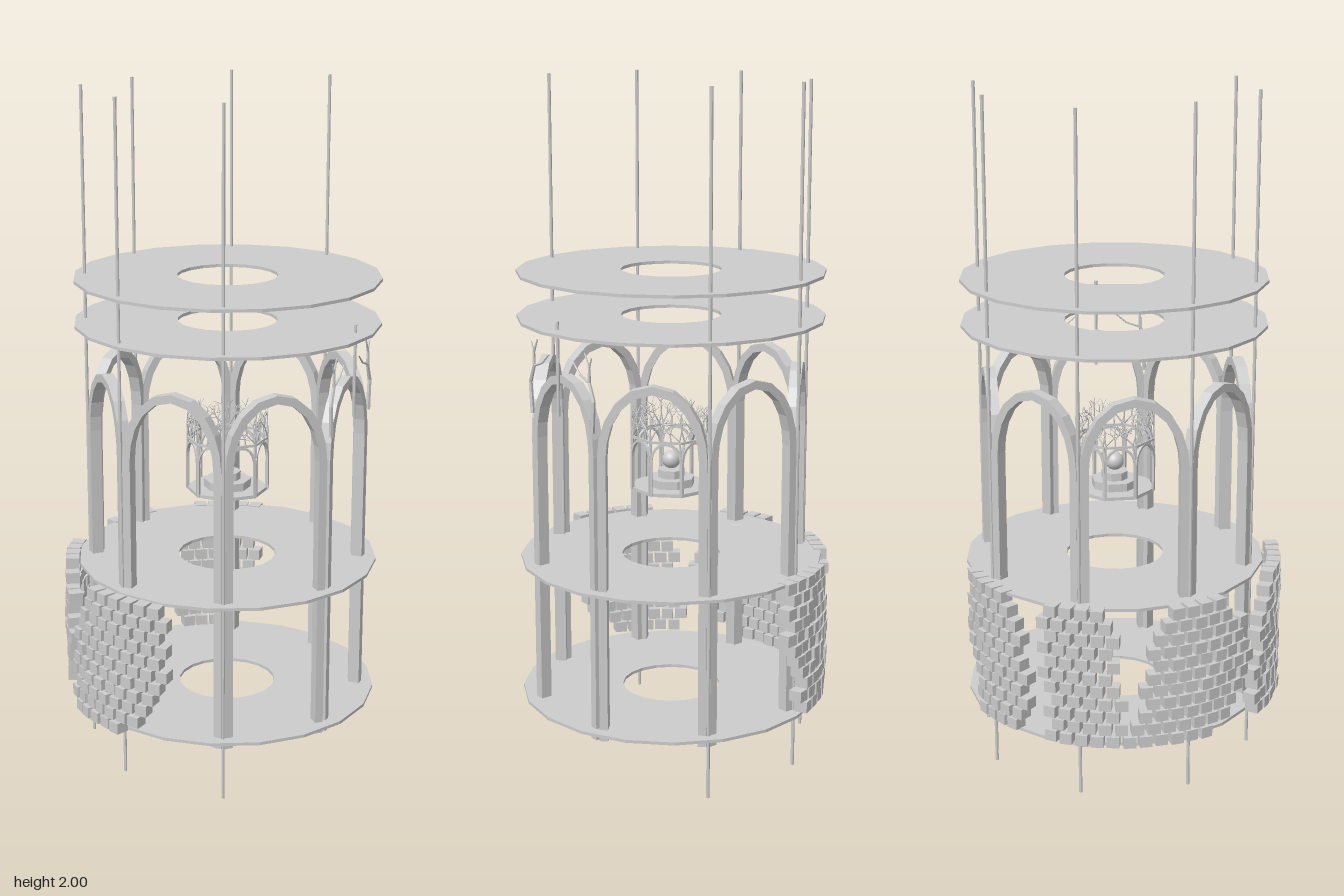
import * as THREE from 'three';
import { mergeGeometries } from 'three/addons/utils/BufferGeometryUtils.js';

const mat = new THREE.MeshStandardMaterial({ color: 0xcccccc, flatShading: true });
const smooth = new THREE.MeshStandardMaterial({ color: 0xcccccc });

let seed = 7;
const rand = () => (seed = (seed * 16807) % 2147483647) / 2147483647;

function add(parent, name, geometry, x = 0, y = 0, z = 0, material = mat) {
  const mesh = new THREE.Mesh(geometry, material);
  mesh.name = name;
  mesh.position.set(x, y, z);
  parent.add(mesh);
  return mesh;
}

// Round floor plate with a central opening
function plateGeometry(outer, inner, thickness) {
  const ring = r => Array.from({ length: 20 }, (_, i) =>
    new THREE.Vector2(r * Math.cos(i * Math.PI / 10), r * Math.sin(i * Math.PI / 10)));
  const shape = new THREE.Shape(ring(outer));
  shape.holes.push(new THREE.Path(ring(inner)));
  const g = new THREE.ExtrudeGeometry(shape, { depth: thickness, bevelEnabled: false });
  g.translate(0, 0, -thickness / 2);
  return g.rotateX(-Math.PI / 2);
}

// Two legs joined by a faceted, slightly pointed arch
function archGeometry(half, rib, depth, bottom, spring, apex) {
  const curve = [[1, 0], [0.97, 0.24], [0.87, 0.5], [0.68, 0.74], [0.38, 0.93], [0, 1]];
  const side = (w, top) => curve.map(([u, v]) => [u * w, spring + v * (top - spring)]);
  const span = (w, top) => {
    const right = side(w, top);
    const left = right.slice(0, -1).reverse().map(([x, y]) => [-x, y]);
    return [[w, bottom], ...right, ...left, [-w, bottom]];
  };
  const points = [...span(half, apex), ...span(half - rib, apex - rib).reverse()];
  const shape = new THREE.Shape(points.map(p => new THREE.Vector2(...p)));
  const g = new THREE.ExtrudeGeometry(shape, { depth, bevelEnabled: false });
  return g.translate(0, 0, -depth / 2);
}

// Straight tapered twig between two points in the XY plane
function twig(x0, y0, x1, y1, r0, r1) {
  const dx = x1 - x0, dy = y1 - y0;
  const g = new THREE.CylinderGeometry(r1, r0, Math.hypot(dx, dy), 5);
  g.rotateZ(Math.atan2(dy, dx) - Math.PI / 2);
  return g.translate((x0 + x1) / 2, (y0 + y1) / 2, 0);
}

// Forking branch that stays in one plane
function grow(list, x, y, angle, length, radius, depth) {
  const x1 = THREE.MathUtils.clamp(x + Math.sin(angle) * length, -0.046, 0.046);
  const y1 = y + Math.cos(angle) * length;
  list.push(twig(x, y, x1, y1, radius, radius * 0.7));
  if (depth === 0) return;
  for (const s of [-1, 1]) {
    grow(list, x1, y1, angle + s * (0.3 + rand() * 0.5), length * (0.65 + rand() * 0.25), radius * 0.65, depth - 1);
  }
}

// Calls build(group) on each of the eight sides; local +z points outward
function eightSides(parent, name, build) {
  for (let k = 0; k < 8; k++) {
    const side = new THREE.Group();
    side.name = name;
    side.rotation.y = k * Math.PI / 4;
    parent.add(side);
    build(side, k);
  }
}

// Ragged curved wall of loose blocks: each row lists its angular spans in degrees
function brickWall(parent) {
  const spans = [
    // [row fraction, then start/end of four patches]
    [0, 78, 47, 27, -14, -14, -36, -50, -70],
    [0.27, 88, 47, 41, -2, -6.5, -34, -42, -74],
    [0.5, 93, 48, 43, -2, -8.6, -37, -44, -78],
    [0.77, 93, 52, 41, 4, -10, -39, -48, -80],
    [1, 93, 56, 32, 9, -14, -39, -52, -80],
  ];
  const rows = 11, pitch = 5.6, bricks = [];
  for (let r = 0; r < rows; r++) {
    const f = r / (rows - 1);
    const i = Math.min(3, spans.findIndex((s, n) => n === 4 || f < spans[n + 1][0]));
    const mix = (f - spans[i][0]) / (spans[i + 1][0] - spans[i][0]);
    const edge = n => THREE.MathUtils.lerp(spans[i][n], spans[i + 1][n], mix);
    for (let d = 95 - (r % 2) * pitch / 2; d > -84; d -= pitch) {
      if (![1, 3, 5, 7].some(n => d <= edge(n) && d >= edge(n + 1))) continue;
      const t = d * Math.PI / 180;
      const g = new THREE.BoxGeometry(0.036, 0.033, 0.04);
      g.rotateY((rand() - 0.5) * 0.15);
      g.rotateY(t - Math.PI / 2);
      const radius = 0.455 + rand() * 0.008;
      g.translate(-radius * Math.cos(t), 0.206 + r * 0.0385, 0.02 + radius * Math.sin(t));
      bricks.push(g);
    }
  }
  add(parent, 'brickWall', mergeGeometries(bricks));
}

// Small octagonal shrine hanging in the middle
function shrine(parent) {
  const group = new THREE.Group();
  group.name = 'shrine';
  parent.add(group);
  const octagon = (r, h) => new THREE.CylinderGeometry(r, r, h, 8).rotateY(Math.PI / 8);
  add(group, 'shrineFoot', octagon(0.08, 0.012), 0, 0.801, 0);
  add(group, 'shrineFloor', octagon(0.12, 0.01), 0, 0.811, 0);
  add(group, 'lowerStep', octagon(0.07, 0.026), 0, 0.827, 0);
  add(group, 'upperStep', octagon(0.04, 0.025), 0, 0.851, 0);
  add(group, 'orb', new THREE.SphereGeometry(0.027, 24, 16), 0, 0.892, 0, smooth);
  const arch = archGeometry(0.047, 0.007, 0.009, 0.81, 0.91, 0.968);
  eightSides(group, 'shrineSide', side => {
    add(side, 'shrineArch', arch, 0, 0, 0.11);
    add(side, 'shrineBeam', new THREE.BoxGeometry(0.092, 0.007, 0.006), 0, 0.969, 0.11);
    const branches = [];
    for (const x of [-0.044, -0.015, 0.015, 0.044]) {
      const big = Math.abs(x) > 0.03;
      grow(branches, x, big ? 0.93 : 0.968, -x * 3 + (rand() - 0.5) * 0.3,
        big ? 0.045 : 0.026, big ? 0.004 : 0.0027, 3);
    }
    add(side, 'crownBranches', mergeGeometries(branches), 0, 0, 0.11);
  });
}

export function createModel() {
  const model = new THREE.Group();
  const tower = new THREE.Group();
  tower.name = 'tower';
  tower.position.set(0.015, 0, -0.025);
  model.add(tower);

  // Floors
  const plate = plateGeometry(0.447, 0.146, 0.009);
  [0.185, 0.6, 1.323, 1.455].forEach(y => add(tower, 'floorPlate', plate, 0, y, 0));

  // Arcade of eight arches
  const arch = archGeometry(0.153, 0.024, 0.034, 0.155, 0.99, 1.197);
  eightSides(tower, 'arcadeSide', (side, k) => {
    add(side, 'arch', arch, 0, 0, 0.367);
    if (k !== 2) return;
    // Bare branches and a short hanging rod on the one open side
    const list = [];
    for (const s of [-1, 1]) {
      list.push(
        twig(s * 0.15, 1.06, s * 0.158, 1.15, 0.007, 0.006),
        twig(s * 0.158, 1.15, s * 0.138, 1.2, 0.006, 0.005),
        twig(s * 0.138, 1.2, s * 0.138, 1.24, 0.005, 0.004),
        twig(s * 0.138, 1.24, s * 0.118, 1.28, 0.004, 0.002),
        twig(s * 0.138, 1.2, s * 0.095, 1.215, 0.004, 0.003),
        twig(s * 0.095, 1.215, s * 0.06, 1.245, 0.003, 0.002),
        twig(s * 0.138, 1.24, s * 0.15, 1.27, 0.003, 0.002));
    }
    add(side, 'bareBranches', mergeGeometries(list), 0, 0, 0.385);
    add(side, 'hangingRod', new THREE.CylinderGeometry(0.005, 0.005, 0.27, 8), 0, 1.215, 0.395);
  });

  // Tall rods, missing on the two +x corners; each starts at a slightly different height
  const lows = [0, 0.02, 0.01, 0.01, 0.015, 0];
  const highs = [2, 2, 2, 1.99, 2, 2];
  lows.forEach((low, i) => {
    const a = (67.5 + i * 45) * Math.PI / 180;
    const height = highs[i] - low;
    add(tower, 'tallRod', new THREE.CylinderGeometry(0.005, 0.005, height, 8),
      0.414 * Math.cos(a), low + height / 2, 0.414 * Math.sin(a));
  });

  brickWall(tower);
  shrine(tower);
  return model;
}
